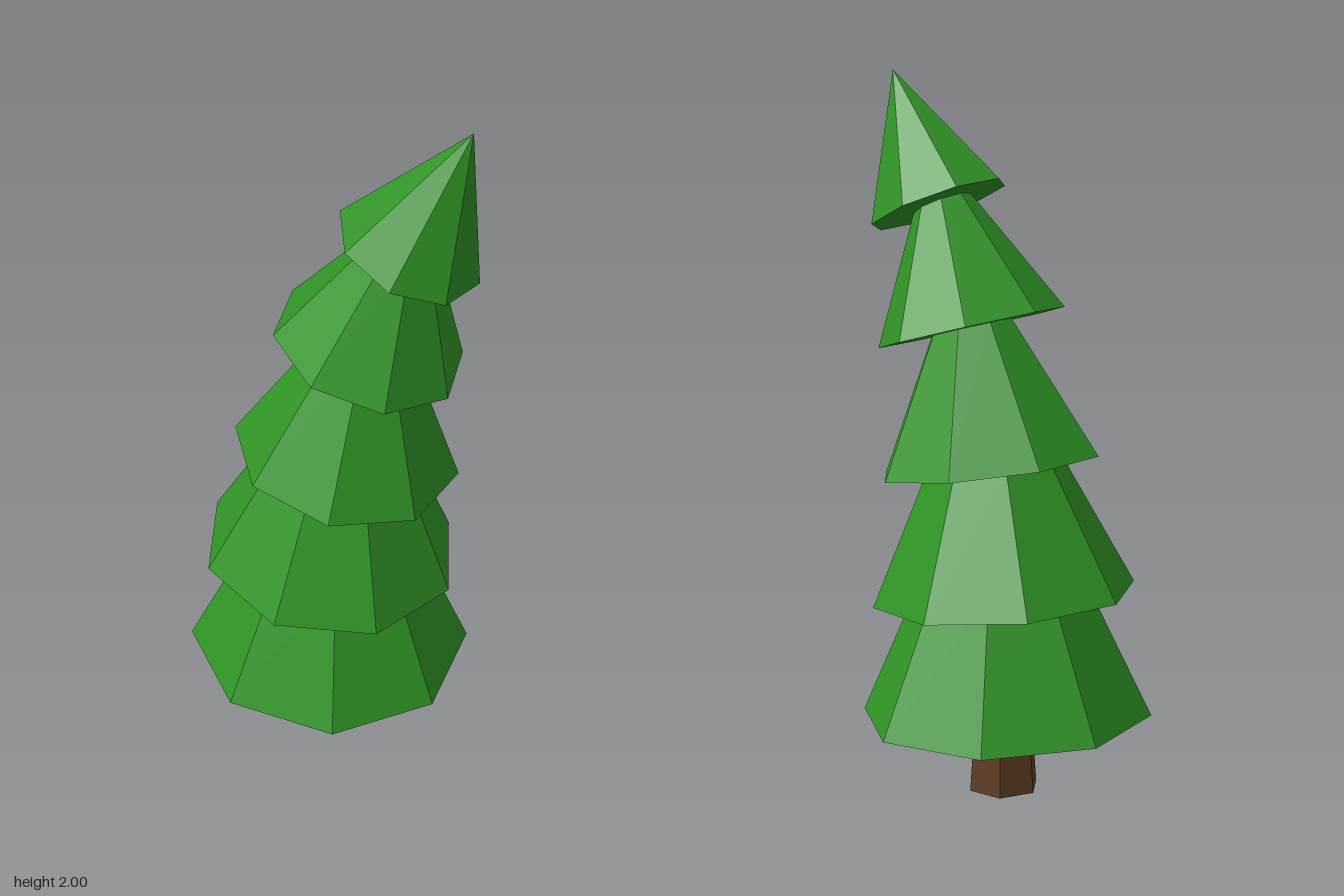
import * as THREE from 'three';

const rad = THREE.MathUtils.degToRad;

export function createModel() {
  const tree = new THREE.Group();
  tree.name = 'leaningPineTree';

  const needles = new THREE.MeshStandardMaterial({ color: 0x309426, flatShading: true });
  needles.name = 'needleGreen';
  const bark = new THREE.MeshStandardMaterial({ color: 0x5f3d24, flatShading: true });
  bark.name = 'barkBrown';

  // Tapered six-sided trunk
  const trunk = new THREE.Mesh(new THREE.CylinderGeometry(0.085, 0.103, 0.25, 6, 1, false, Math.PI / 2), bark);
  trunk.name = 'trunk';
  trunk.position.y = 0.125;
  tree.add(trunk);

  // Eight-sided branch tiers, each leaning further towards +x.
  // x, y, z: centre of the base; turn: angle of one corner from +x towards +z
  const tiers = [
    { x: -0.01, y: 0.222, z: 0, base: 0.41, top: 0.225, height: 0.4, lean: 1.9, turn: 18.8 },
    { x: -0.007, y: 0.566, z: -0.003, base: 0.369, top: 0.175, height: 0.4, lean: 4.9, turn: 0 },
    { x: 0.04, y: 0.931, z: -0.006, base: 0.315, top: 0.11, height: 0.4, lean: 8.3, turn: 29.1 },
    { x: 0.102, y: 1.307, z: -0.008, base: 0.262, top: 0.066, height: 0.38, lean: 15.4, turn: 11 },
    { x: 0.21, y: 1.637, z: -0.01, base: 0.199, top: 0, height: 0.395, lean: 23.3, turn: 35.8 },
  ];
  tiers.forEach((t, i) => {
    const geometry = new THREE.CylinderGeometry(t.top, t.base, t.height, 8, 1, false, rad(90 - t.turn));
    geometry.translate(0, t.height / 2, 0); // pivot at the base
    const tier = new THREE.Mesh(geometry, needles);
    tier.name = i === tiers.length - 1 ? 'treeTip' : `branchTier${i + 1}`;
    tier.position.set(t.x, t.y, t.z);
    tier.rotation.z = -rad(t.lean);
    tree.add(tier);
  });

  return tree;
}
